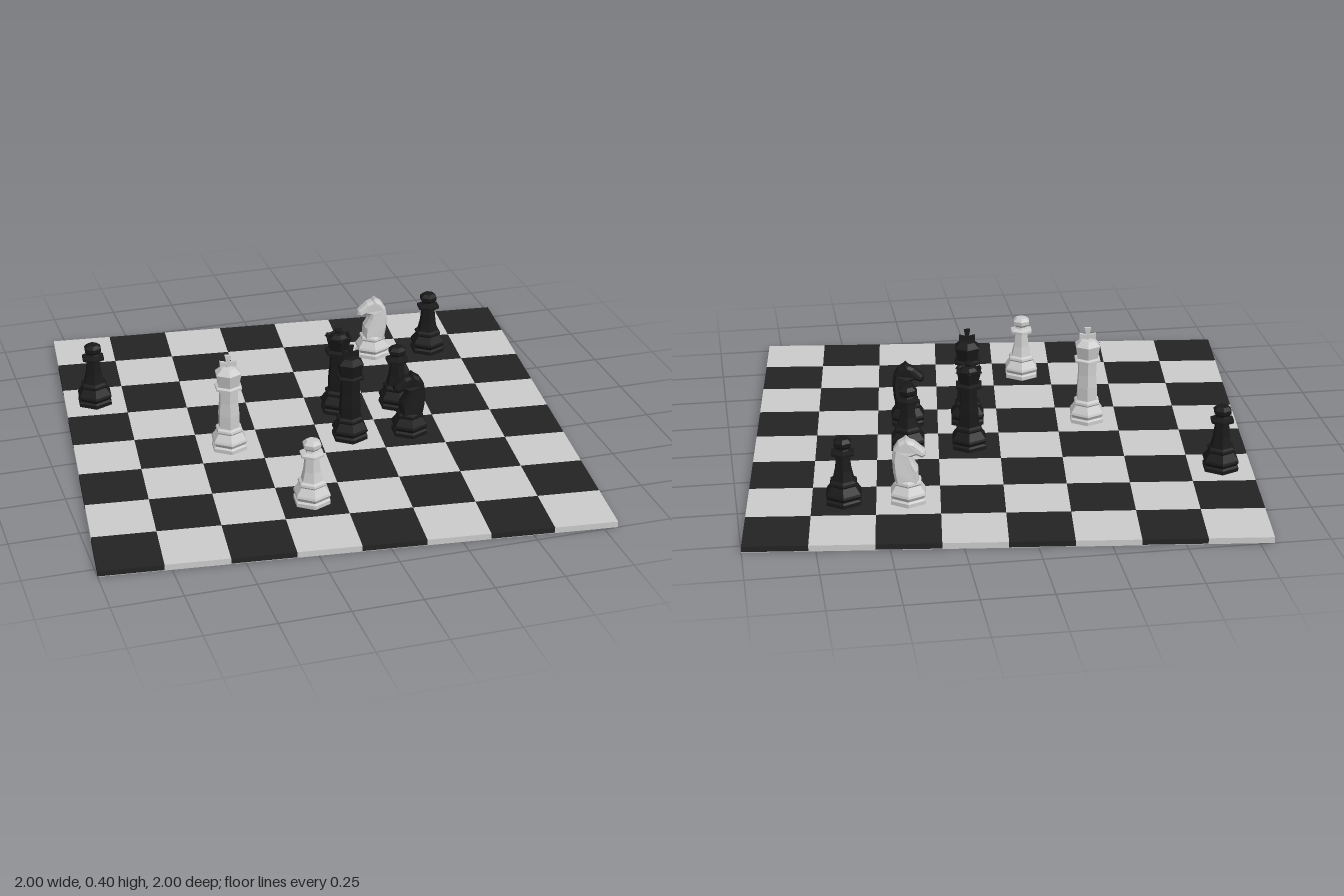
import * as THREE from 'three';

const SQUARE = 0.2264, TOP = 0.022;
const flat = (color) => new THREE.MeshStandardMaterial({ color, flatShading: true });
const lightSquare = flat(0xcccccc), darkSquare = flat(0x232323);
const lightPiece = flat(0xcccccc), darkPiece = flat(0x191919);

function add(parent, name, geometry, material, x = 0, y = 0, z = 0) {
  const mesh = new THREE.Mesh(geometry, material);
  mesh.name = name;
  mesh.position.set(x, y, z);
  parent.add(mesh);
  return mesh;
}

// Six-sided turned part from [radius, height] pairs, corners on the z axis
const turned = (points) =>
  new THREE.LatheGeometry(points.map(([r, y]) => new THREE.Vector2(r, y)), 6);

// Stepped foot shared by all pieces
const foot = [[0, 0], [0.07, 0], [0.07, 0.014], [0.062, 0.02], [0.071, 0.034], [0.068, 0.042],
  [0.049, 0.068], [0.054, 0.074], [0.052, 0.082], [0.042, 0.088]];

function pawn(material) {
  const g = new THREE.Group();
  add(g, 'pawnBody', turned([...foot, [0.033, 0.125], [0.027, 0.178], [0.046, 0.184],
    [0.046, 0.193], [0.025, 0.199], [0.022, 0.206], [0.034, 0.217], [0.035, 0.231],
    [0.022, 0.243], [0, 0.244]]), material);
  return g;
}

function king(material) {
  const g = new THREE.Group();
  add(g, 'kingBody', turned([...foot, [0.042, 0.14], [0.038, 0.19], [0.038, 0.236], [0.054, 0.243],
    [0.054, 0.252], [0.043, 0.257], [0.052, 0.306], [0.046, 0.311], [0.03, 0.325], [0, 0.33]]), material);
  // Cross with flared arms
  const arm = new THREE.Shape([[-0.005, 0], [0.005, 0], [0.012, 0.034], [-0.012, 0.034]]
    .map(([x, y]) => new THREE.Vector2(x, y)));
  const armGeometry = new THREE.ExtrudeGeometry(arm, { depth: 0.012, bevelEnabled: false });
  armGeometry.translate(0, 0, -0.006);
  for (let i = 0; i < 4; i++) {
    const mesh = add(g, 'crossArm', armGeometry, material, 0, 0.34, 0);
    mesh.rotation.z = i * Math.PI / 2;
    if (i % 2) mesh.scale.y = 0.9;
  }
  return g;
}

function queen(material) {
  const g = new THREE.Group();
  add(g, 'queenBody', turned([...foot, [0.04, 0.14], [0.035, 0.19], [0.034, 0.232], [0.054, 0.24],
    [0.054, 0.25], [0.038, 0.256], [0.052, 0.307], [0.045, 0.309], [0.04, 0.3], [0.024, 0.316],
    [0.01, 0.32], [0.016, 0.327], [0.014, 0.335], [0, 0.338]]), material);
  // Points of the coronet
  for (let i = 0; i < 6; i++) {
    const a = i * Math.PI / 3;
    add(g, 'coronetPoint', new THREE.ConeGeometry(0.01, 0.016, 4), material,
      0.045 * Math.sin(a), 0.308, 0.045 * Math.cos(a));
  }
  return g;
}

function knight(material) {
  const g = new THREE.Group();
  add(g, 'knightFoot', turned([...foot, [0, 0.09]]), material);
  // Neck and head, facing -x
  const outline = [[-0.036, 0.075], [0.042, 0.075], [0.05, 0.12], [0.053, 0.165], [0.047, 0.2],
    [0.032, 0.224], [0.013, 0.236], [0.005, 0.243], [-0.004, 0.232], [-0.024, 0.224],
    [-0.058, 0.194], [-0.061, 0.18], [-0.05, 0.172], [-0.03, 0.182], [-0.009, 0.176],
    [-0.015, 0.158], [-0.034, 0.126]];
  const shape = new THREE.Shape(outline.map(([x, y]) => new THREE.Vector2(x, y)));
  const body = new THREE.ExtrudeGeometry(shape, {
    depth: 0.036, bevelThickness: 0.014, bevelSize: 0.009, bevelOffset: -0.007, bevelSegments: 1,
  });
  body.translate(0, 0, -0.018);
  // Thin the head towards muzzle and crown
  const p = body.attributes.position;
  for (let i = 0; i < p.count; i++) {
    const up = THREE.MathUtils.smoothstep(p.getY(i), 0.08, 0.24);
    const forward = THREE.MathUtils.smoothstep(-p.getX(i), 0, 0.065) * up;
    p.setZ(i, p.getZ(i) * (1.2 - 0.4 * up - 0.25 * forward));
  }
  add(g, 'knightHead', body, material);
  for (const side of [-1, 1]) {
    add(g, 'ear', new THREE.ConeGeometry(0.008, 0.026, 4), material, 0.008, 0.232, side * 0.013);
  }
  return g;
}

export function createModel() {
  const model = new THREE.Group();
  model.name = 'chessBoard';
  model.rotation.y = -Math.atan2(0.2, 1.8);
  const at = (i) => (i - 3.5) * SQUARE;

  // Board
  add(model, 'boardUnderside', new THREE.BoxGeometry(8 * SQUARE, 0.002, 8 * SQUARE), lightSquare, 0, 0.001, 0);
  const tile = new THREE.BoxGeometry(SQUARE, TOP - 0.002, SQUARE);
  for (let i = 0; i < 8; i++) {
    for (let j = 0; j < 8; j++) {
      add(model, 'square', tile, (i + j) % 2 ? darkSquare : lightSquare, at(i), TOP / 2 + 0.001, at(j));
    }
  }

  // Pieces: maker, name, material, column, row
  const pieces = [
    [pawn, 'darkPawn', darkPiece, 0, 2], [pawn, 'darkPawn', darkPiece, 6, 1],
    [pawn, 'darkPawn', darkPiece, 5, 3], [pawn, 'lightPawn', lightPiece, 3, 6],
    [king, 'lightKing', lightPiece, 2, 4], [king, 'darkKing', darkPiece, 4, 4],
    [queen, 'darkQueen', darkPiece, 4, 3],
    [knight, 'darkKnight', darkPiece, 5, 4], [knight, 'lightKnight', lightPiece, 5, 1],
  ];
  for (const [make, name, material, i, j] of pieces) {
    const piece = make(material);
    piece.name = name;
    piece.position.set(at(i), TOP, at(j));
    model.add(piece);
  }

  const root = new THREE.Group();
  root.add(model);
  return root;
}
